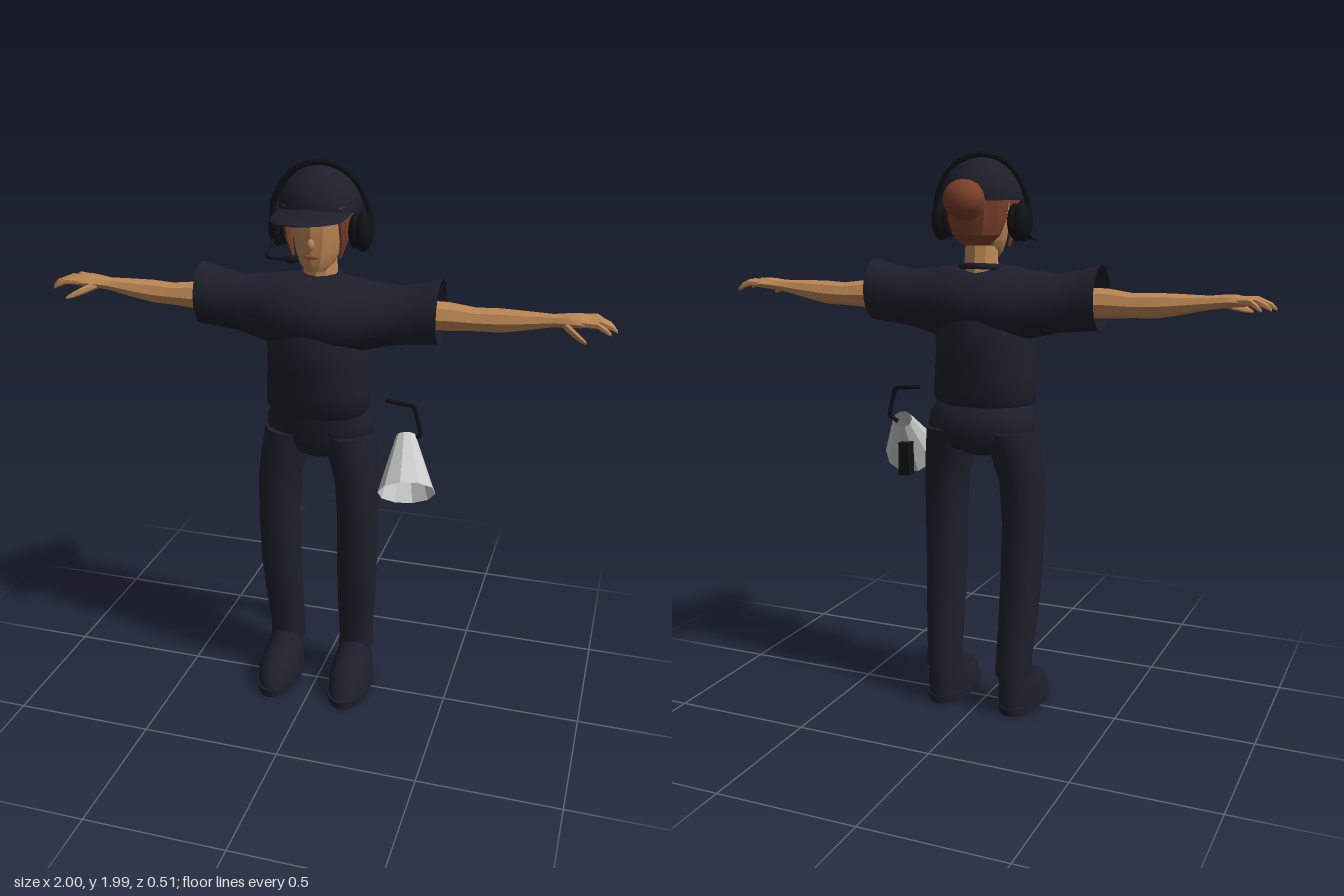
import * as THREE from 'three';
import { toCreasedNormals } from 'three/addons/utils/BufferGeometryUtils.js';

const mat = (name, color, side = THREE.FrontSide) => {
  const m = new THREE.MeshStandardMaterial({ color, side });
  m.name = name;
  return m;
};

// Skin of elliptical sections [along, centreU, centreV, radiusU, radiusV].
// Axis x uses (y, z), axis y uses (z, x), axis z uses (x, y). side = -1 mirrors in x.
function loft(axis, sections, { n = 16, caps = true, side = 1, crease = 0.7 } = {}) {
  const pos = [], idx = [];
  const put = (w, u, v) => {
    const p = axis === 'x' ? [w, u, v] : axis === 'y' ? [v, w, u] : [u, v, w];
    pos.push(p[0] * side, p[1], p[2]);
  };
  const tri = (a, b, c) => side > 0 ? idx.push(a, b, c) : idx.push(a, c, b);
  for (const [w, cu, cv, ru, rv] of sections) {
    for (let j = 0; j < n; j++) {
      const t = (j / n) * Math.PI * 2;
      put(w, cu + ru * Math.cos(t), cv + rv * Math.sin(t));
    }
  }
  const last = sections.length - 1;
  for (let i = 0; i < last; i++) {
    for (let j = 0; j < n; j++) {
      const k = (j + 1) % n, a = i * n + j, b = i * n + k;
      tri(a, b, b + n);
      tri(a, b + n, a + n);
    }
  }
  if (caps) {
    const c = pos.length / 3;
    for (const s of [sections[0], sections[last]]) put(s[0], s[1], s[2]);
    for (let j = 0; j < n; j++) {
      const k = (j + 1) % n;
      tri(c, k, j);
      tri(c + 1, last * n + j, last * n + k);
    }
  }
  const g = new THREE.BufferGeometry();
  g.setAttribute('position', new THREE.Float32BufferAttribute(pos, 3));
  g.setIndex(idx);
  return toCreasedNormals(g, crease);
}

export function createModel() {
  const root = new THREE.Group();
  const skin = mat('skin', 0xbd8754), hairMat = mat('hair', 0x7b402b);
  const cloth = mat('navy cloth', 0x1f1f2c), shirtMat = mat('navy shirt', 0x1f1f2c, THREE.DoubleSide);
  const black = mat('black plastic', 0x121217), lipMat = mat('lips', 0x96583f);
  const grey = mat('pale grey', 0xc9cbc8, THREE.DoubleSide);

  const add = (name, geo, m, x = 0, y = 0, z = 0) => {
    const mesh = new THREE.Mesh(geo, m);
    mesh.name = name;
    mesh.position.set(x, y, z);
    root.add(mesh);
    return mesh;
  };
  const ball = (name, m, x, y, z, rx, ry, rz, seg = 14) =>
    add(name, new THREE.SphereGeometry(1, seg, 10).scale(rx, ry, rz), m, x, y, z);
  const rod = (name, points, r, m, steps = 24) => {
    const path = new THREE.CatmullRomCurve3(points.map(p => new THREE.Vector3(...p)), false, 'centripetal');
    return add(name, new THREE.TubeGeometry(path, steps, r, 6), m);
  };

  // Shirt: open tube through both sleeves, and a body below it
  const half = [
    [0.09, 1.475, -0.01, 0.132, 0.16], [0.17, 1.475, -0.018, 0.118, 0.13],
    [0.28, 1.483, -0.022, 0.1, 0.1], [0.36, 1.495, -0.022, 0.104, 0.094], [0.425, 1.507, -0.02, 0.109, 0.095],
  ];
  const sleeves = [...half.map(([x, ...r]) => [-x, ...r]).reverse(), [0, 1.475, -0.01, 0.132, 0.165], ...half];
  add('sleevesAndShoulders', loft('x', sleeves, { n: 24, caps: false, crease: 1 }), shirtMat);
  add('shirtBody', loft('y', [
    [1.115, -0.02, 0, 0.115, 0.165], [1.14, -0.015, 0, 0.135, 0.187], [1.22, -0.015, 0, 0.141, 0.184],
    [1.3, -0.012, 0, 0.155, 0.178], [1.37, -0.01, 0, 0.167, 0.177], [1.43, -0.01, 0, 0.152, 0.16],
  ], { n: 24, caps: false, crease: 1 }), shirtMat);
  const collar = add('collar', new THREE.TorusGeometry(0.068, 0.012, 6, 20).rotateX(Math.PI / 2), cloth, 0, 1.6, -0.045);
  collar.rotation.x = 0.1;

  // Hips
  add('hips', loft('y', [
    [0.945, -0.035, 0, 0.05, 0.06], [0.975, -0.045, 0, 0.1, 0.14], [1.03, -0.05, 0, 0.125, 0.199],
    [1.09, -0.04, 0, 0.122, 0.19], [1.14, -0.02, 0, 0.11, 0.165],
  ], { n: 24, crease: 1 }), cloth);

  for (const side of [1, -1]) {
    // Legs and shoes
    add('trouserLeg', loft('y', [
      [0.14, -0.07, 0.137, 0.072, 0.066], [0.2, -0.068, 0.137, 0.07, 0.064], [0.35, -0.045, 0.143, 0.074, 0.07],
      [0.5, -0.025, 0.147, 0.08, 0.074], [0.7, -0.018, 0.15, 0.083, 0.075], [0.85, -0.02, 0.145, 0.09, 0.079],
      [0.95, -0.03, 0.126, 0.105, 0.088], [1.04, -0.045, 0.105, 0.12, 0.094],
    ], { side, crease: 1 }), cloth);
    add('shoeSole', loft('y', [[0, 0.023, 0.14, 0.16, 0.077], [0.03, 0.023, 0.14, 0.163, 0.08]], { n: 20, side }), cloth);
    add('shoeUpper', loft('y', [
      [0.03, 0.021, 0.14, 0.156, 0.076], [0.07, 0.014, 0.14, 0.15, 0.076], [0.1, -0.008, 0.139, 0.128, 0.07],
      [0.13, -0.035, 0.138, 0.1, 0.062], [0.16, -0.058, 0.137, 0.075, 0.056], [0.2, -0.068, 0.137, 0.06, 0.052],
    ], { n: 20, side, crease: 1 }), cloth);

    // Arms and palms
    add('arm', loft('x', [
      [0.36, 1.488, -0.03, 0.052, 0.055], [0.45, 1.49, -0.032, 0.05, 0.054], [0.54, 1.487, -0.036, 0.041, 0.046],
      [0.62, 1.49, -0.036, 0.042, 0.046], [0.7, 1.497, -0.034, 0.034, 0.04], [0.79, 1.506, -0.032, 0.023, 0.031],
      [0.84, 1.512, -0.03, 0.022, 0.044], [0.88, 1.515, -0.03, 0.02, 0.056], [0.915, 1.513, -0.03, 0.014, 0.05],
    ], { n: 8, side, crease: 0.5 }), skin);
    // Fingers spread away from the palm and droop at the tips
    [[-0.072, -0.086, 0.965], [-0.044, -0.05, 0.99], [-0.016, -0.012, 1.0], [0.01, 0.026, 0.982]].forEach(([z0, z1, end]) => {
      const mid = (0.89 + end) / 2;
      add('finger', loft('x', [
        [0.885, 1.516, z0, 0.011, 0.013], [mid, 1.517, (z0 + z1) / 2, 0.012, 0.012],
        [end - 0.015, 1.503, z1, 0.01, 0.01], [end, 1.492, z1, 0.005, 0.006],
      ], { n: 6, side, crease: 0.5 }), skin);
    });
    add('thumb', loft('x', [
      [0.825, 1.505, -0.01, 0.014, 0.016], [0.86, 1.492, 0.03, 0.015, 0.018],
      [0.89, 1.48, 0.06, 0.011, 0.013], [0.91, 1.472, 0.074, 0.005, 0.006],
    ], { n: 6, side, crease: 0.5 }), skin);

    // Hair lock beside the face
    add('hairLock', loft('y', [
      [1.67, 0.005, 0.082, 0.006, 0.005], [1.73, 0.01, 0.095, 0.022, 0.012], [1.85, 0.02, 0.094, 0.045, 0.018],
    ], { n: 6, side, crease: 0.4 }), hairMat);

    // Headset cups
    ball('earCup', black, side * 0.15, 1.755, -0.042, 0.032, 0.068, 0.048);
    ball('earPad', black, side * 0.122, 1.755, -0.042, 0.024, 0.06, 0.043);
  }

  // Head, neck and hair
  add('neck', loft('y', [[1.55, -0.045, 0, 0.063, 0.064], [1.62, -0.045, 0, 0.058, 0.058], [1.7, -0.04, 0, 0.055, 0.055]],
    { n: 10, crease: 0.4 }), skin);
  add('head', loft('y', [
    [1.628, 0.02, 0, 0.034, 0.034], [1.65, 0, 0, 0.064, 0.057], [1.69, -0.02, 0, 0.093, 0.077],
    [1.76, -0.028, 0, 0.106, 0.092], [1.84, -0.035, 0, 0.114, 0.098], [1.9, -0.04, 0, 0.09, 0.08],
  ], { n: 14, crease: 0.45 }), skin);
  ball('nose', skin, 0, 1.725, 0.075, 0.013, 0.02, 0.014, 8);
  ball('lips', lipMat, 0, 1.683, 0.069, 0.026, 0.008, 0.005, 8);
  add('backHair', loft('y', [
    [1.675, -0.088, 0, 0.035, 0.05], [1.71, -0.085, 0, 0.065, 0.086], [1.76, -0.08, 0, 0.08, 0.105],
    [1.86, -0.07, 0, 0.1, 0.112],
  ], { n: 12, crease: 0.4 }), hairMat);
  ball('hairBun', hairMat, 0, 1.83, -0.2, 0.068, 0.064, 0.058, 12);
  add('bunWrap', new THREE.TorusGeometry(0.05, 0.018, 6, 14), hairMat, 0, 1.825, -0.172);

  // Cap: dome, closed below, with a curved brim
  const dome = [[1.825, -0.038, 0, 0.138, 0.137]];
  for (let i = 0; i <= 6; i++) {
    const t = (i / 6) * 1.5;
    dome.push([1.84 + 0.125 * Math.sin(t), -0.038, 0, 0.139 * Math.cos(t), 0.138 * Math.cos(t)]);
  }
  add('capDome', loft('y', dome, { n: 24, crease: 0.8 }), cloth);
  const brim = loft('z', [
    [0.03, 0, 0, 0.125, 0.005], [0.1, 0, 0, 0.126, 0.005], [0.16, 0, 0, 0.113, 0.005],
    [0.21, 0, 0, 0.086, 0.005], [0.24, 0, 0, 0.053, 0.004], [0.257, 0, 0, 0.012, 0.003],
  ], { n: 16, crease: 0.8 });
  const p = brim.attributes.position;
  for (let i = 0; i < p.count; i++) {
    p.setY(i, p.getY(i) + 1.843 - 0.09 * (p.getZ(i) - 0.06) - 1.2 * p.getX(i) ** 2);
  }
  brim.computeVertexNormals();
  add('capBrim', brim, cloth);

  // Headset band, boom and microphone
  rod('headband', [[-0.168, 1.75, -0.042], [-0.166, 1.83, -0.042], [-0.125, 1.915, -0.042], [-0.065, 1.962, -0.042], [0, 1.976, -0.042],
    [0.065, 1.962, -0.042], [0.125, 1.915, -0.042], [0.166, 1.83, -0.042], [0.168, 1.75, -0.042]], 0.011, black, 32);
  rod('microphoneBoom', [[-0.155, 1.72, -0.02], [-0.152, 1.695, 0.04], [-0.135, 1.69, 0.125], [-0.11, 1.69, 0.142], [-0.04, 1.69, 0.145]], 0.005, black);
  ball('microphone', black, -0.045, 1.69, 0.145, 0.025, 0.012, 0.012, 10);

  // Megaphone hanging at the hip, its mouth forward and down
  const small = new THREE.Vector3(0.315, 1.04, -0.04), mouth = new THREE.Vector3(0.355, 0.892, 0.112);
  const axis = small.clone().sub(mouth);
  const horn = add('megaphoneHorn', toCreasedNormals(new THREE.CylinderGeometry(0.035, 0.1, axis.length(), 10, 1, true), 0.3), grey);
  horn.position.copy(small).add(mouth).multiplyScalar(0.5);
  horn.quaternion.setFromUnitVectors(new THREE.Vector3(0, 1, 0), axis.normalize());
  add('megaphoneHandle', new THREE.BoxGeometry(0.04, 0.12, 0.045), black, 0.305, 0.895, -0.035);
  add('hornCore', new THREE.BoxGeometry(0.03, 0.025, 0.03), black, 0.305, 0.942, 0.055);
  const strap = [[0.24, 1.165, -0.04], [0.342, 1.155, -0.04], [0.368, 1.05, -0.04], [0.335, 1.03, -0.035]];
  for (let i = 0; i < 3; i++) rod('megaphoneStrap', [strap[i], strap[i + 1]], 0.008, black, 1);

  return root;
}
